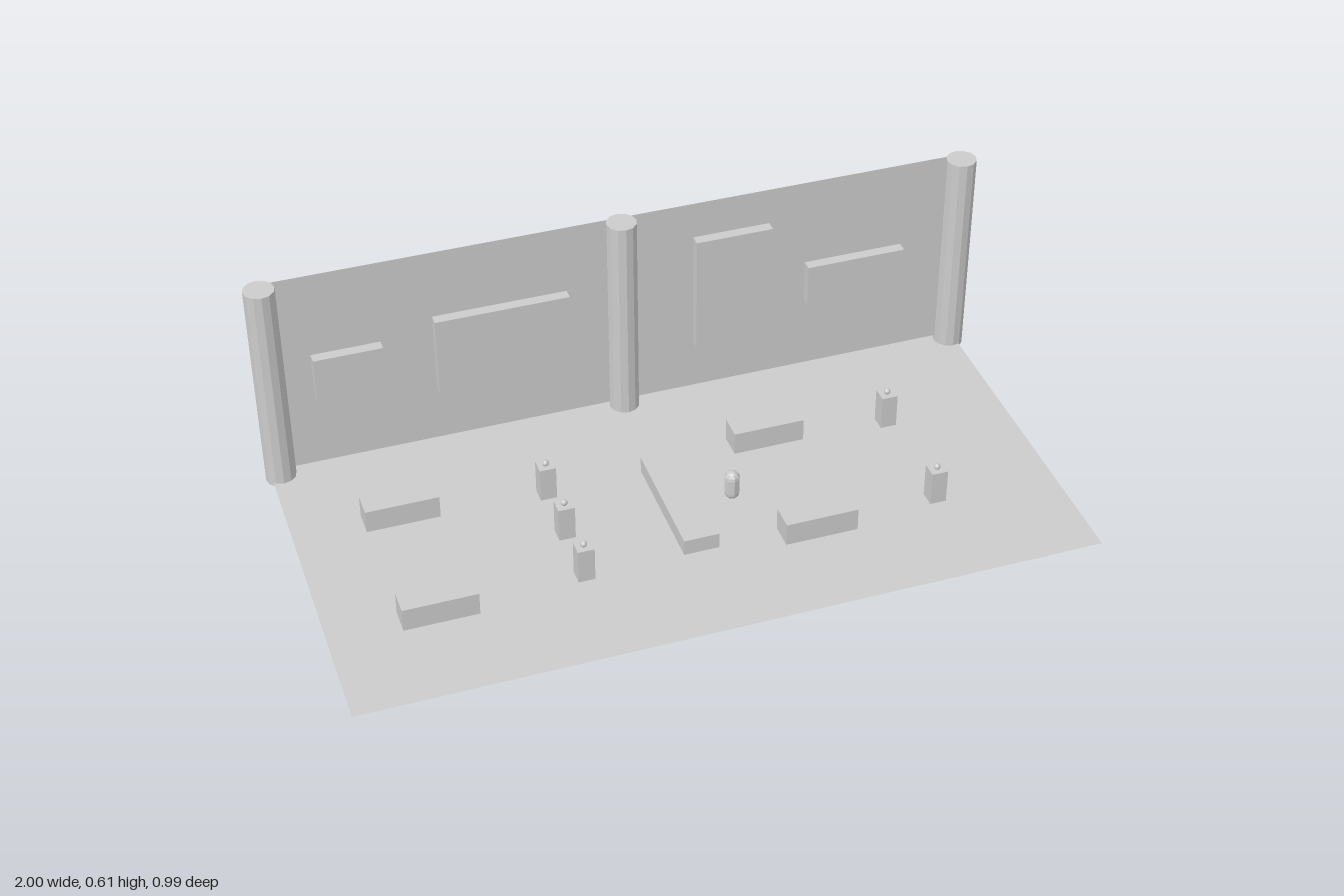
import * as THREE from 'three';

const FLOOR = 0.01;

export function createModel() {
  const model = new THREE.Group();
  const mat = new THREE.MeshStandardMaterial({ color: 0xcccccc, flatShading: true });
  const thin = new THREE.MeshStandardMaterial({ color: 0xcccccc, side: THREE.DoubleSide });

  const add = (name, geometry, x, y, z, material = mat) => {
    const mesh = new THREE.Mesh(geometry, material);
    mesh.name = name;
    mesh.position.set(x, y, z);
    model.add(mesh);
    return mesh;
  };
  // box given by its limits on each axis
  const box = (name, [x0, x1], [y0, y1], [z0, z1]) =>
    add(name, new THREE.BoxGeometry(x1 - x0, y1 - y0, z1 - z0),
      (x0 + x1) / 2, (y0 + y1) / 2, (z0 + z1) / 2);

  // room shell: floor sheet and back wall sheet
  add('floor', new THREE.PlaneGeometry(1.96, 0.972).rotateX(-Math.PI / 2), -0.005, FLOOR, 0.008, thin);
  add('backWall', new THREE.PlaneGeometry(1.96, 0.603), -0.005, 0.3035, -0.478, thin);

  // columns along the wall
  const column = new THREE.CylinderGeometry(0.041, 0.041, 0.605, 12);
  for (const x of [-0.959, -0.005, 0.957]) add('column', column, x, 0.3025, -0.456);

  // framed pictures hung on the wall
  const pictures = [
    [[-0.845, -0.66], [0.23, 0.365]],
    [[-0.52, -0.155], [0.18, 0.412]],
    [[0.198, 0.412], [0.162, 0.505]],
    [[0.518, 0.798], [0.235, 0.355]],
  ];
  for (const [xs, ys] of pictures) box('picture', xs, ys, [-0.47, -0.44]);

  // benches, two per side
  for (const x of [-0.7, 0.305])
    for (const z of [-0.187, 0.206])
      box('bench', [x - 0.098, x + 0.098], [FLOOR, 0.075], [z - 0.035, z + 0.035]);

  // low central table
  box('table', [-0.053, 0.042], [FLOOR, 0.055], [-0.163, 0.194]);

  // pedestals, each carrying a small ball
  const ball = new THREE.SphereGeometry(0.009, 10, 8);
  const spots = [[-0.316, -0.152], [-0.316, 0.017], [-0.316, 0.187], [0.642, -0.152], [0.642, 0.187]];
  for (const [x, z] of spots) {
    box('pedestal', [x - 0.022, x + 0.022], [FLOOR, 0.108], [z - 0.022, z + 0.022]);
    add('exhibitBall', ball, x, 0.114, z);
  }

  // visitor: capsule standing beside the table
  add('visitor', new THREE.CapsuleGeometry(0.021, 0.044, 4, 8), 0.138, 0.056, 0.019);

  return model;
}
